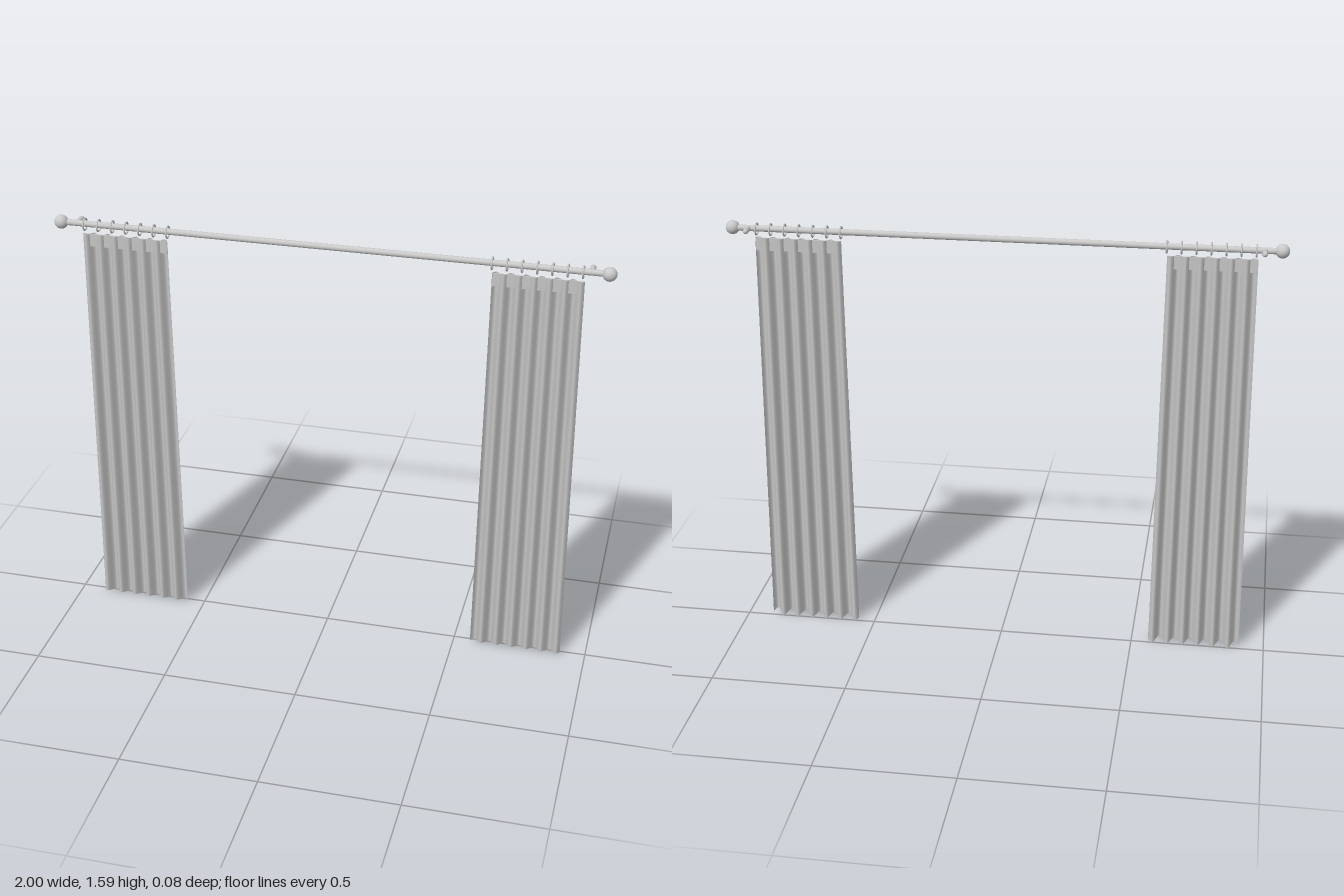
import * as THREE from 'three';

const ROD_Y = 1.565, ROD_Z = 0.013;

// Pleated cloth: a wave across x, swept from hem to top, widening slightly downward
function clothGeometry(side) {
  const folds = 6, cols = folds * 12, rows = 8;
  const geo = new THREE.PlaneGeometry(1, 1, cols, rows);
  const pos = geo.attributes.position;
  for (let i = 0; i < pos.count; i++) {
    const u = pos.getX(i) + 0.5, v = pos.getY(i) + 0.5;
    const wave = Math.sin(u * folds * Math.PI * 2) * -side;
    const width = THREE.MathUtils.lerp(0.343, 0.315, v);
    const centre = side * THREE.MathUtils.lerp(0.735, 0.737, v);
    const amp = THREE.MathUtils.lerp(0.018, 0.0135, v);
    const hem = 0.006 + 0.006 * wave;
    pos.setXYZ(i, centre + (u - 0.5) * width, THREE.MathUtils.lerp(hem, 1.53, v), 0.017 + amp * wave);
  }
  geo.computeVertexNormals();
  return geo;
}

export function createModel() {
  const model = new THREE.Group();
  model.name = 'curtains';
  const metal = new THREE.MeshStandardMaterial({ color: 0xc8c8c8 });
  metal.name = 'grey';
  const cloth = new THREE.MeshStandardMaterial({ color: 0xc6c6c6, side: THREE.DoubleSide });
  cloth.name = 'cloth grey';

  const add = (name, geo, mat, x, y, z, parent = model) => {
    const mesh = new THREE.Mesh(geo, mat);
    mesh.name = name;
    mesh.position.set(x, y, z);
    parent.add(mesh);
    return mesh;
  };

  // Rod
  add('rod', new THREE.CylinderGeometry(0.011, 0.011, 1.93, 20), metal, 0, ROD_Y, ROD_Z).rotation.z = Math.PI / 2;

  const ringGeo = new THREE.TorusGeometry(0.0205, 0.0032, 8, 24);
  const ballGeo = new THREE.SphereGeometry(0.025, 24, 16);
  const bracketGeo = new THREE.CapsuleGeometry(0.01, 0.042, 6, 14);
  const headGeo = new THREE.BoxGeometry(0.312, 0.047, 0.004);

  for (const side of [-1, 1]) {
    const half = new THREE.Group();
    half.name = side > 0 ? 'leftSide' : 'rightSide';
    model.add(half);

    // Rod end and wall bracket
    add('finial', ballGeo, metal, side * 0.975, ROD_Y, ROD_Z + 0.002, half);
    add('bracket', bracketGeo, metal, side * 0.915, ROD_Y, -0.009, half).rotation.x = Math.PI / 2;

    // Rings
    for (let i = 0; i < 7; i++) {
      add('ring', ringGeo, metal, side * (0.578 + i * 0.0515), ROD_Y - 0.002, ROD_Z, half).rotation.y = Math.PI / 2;
    }

    // Cloth and the flat heading tape that runs through its folds
    add('curtain', clothGeometry(side), cloth, 0, 0, 0, half);
    add('headingTape', headGeo, cloth, side * 0.737, 1.506, 0.017, half);
  }
  return model;
}
